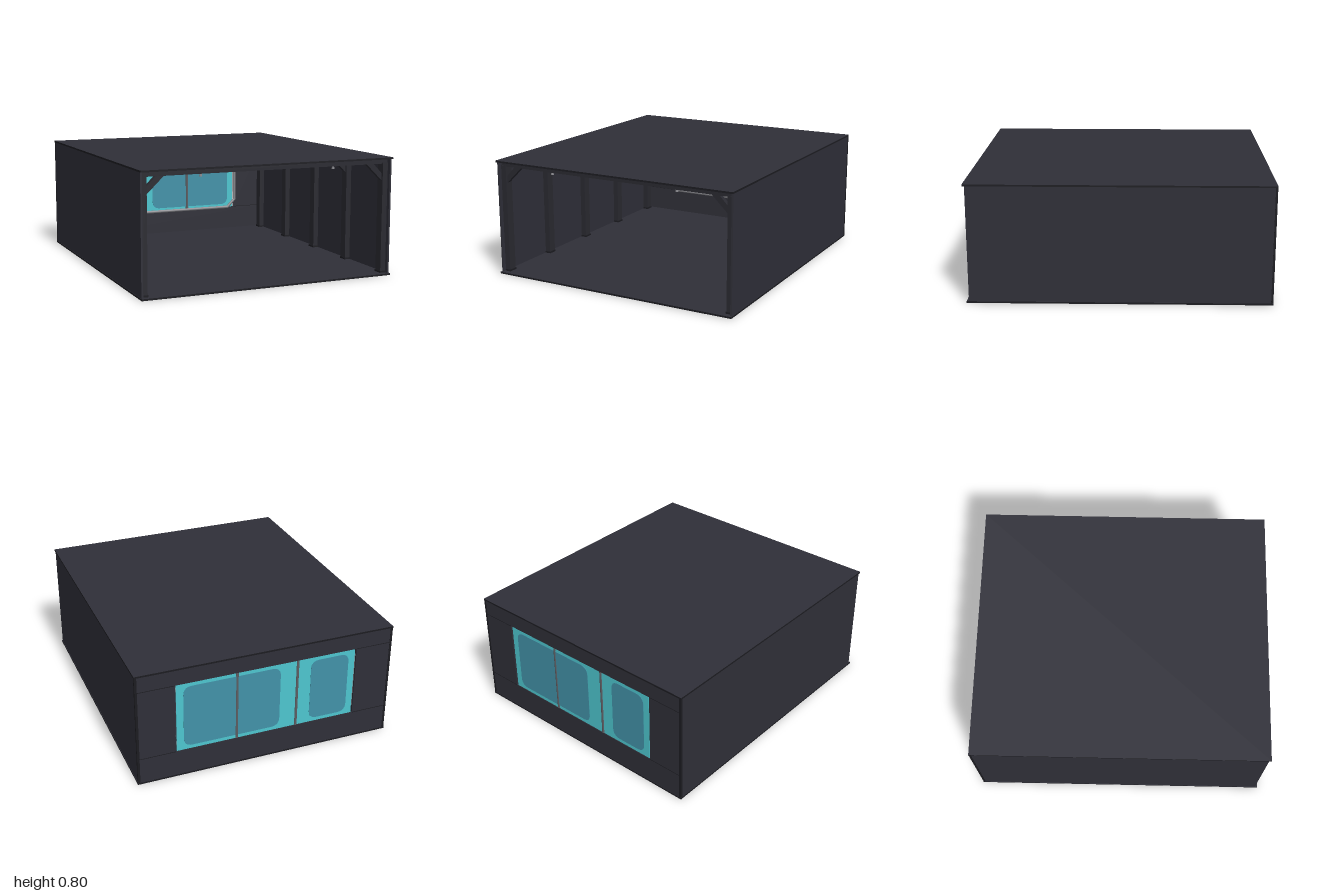
import * as THREE from 'three';

const mat = (name, color) => {
  const m = new THREE.MeshStandardMaterial({ color });
  m.name = name;
  return m;
};

export function createModel() {
  const hull = mat('hull panel', 0x2f2f38);
  const beam = mat('dark beam', 0x292930);
  const trim = mat('trim', 0x1c1c21);
  const steel = mat('steel', 0x85858a);
  const glass = mat('glass', 0x4dc6cf);
  const tint = mat('tinted glass', 0x4292a8);
  const root = new THREE.Group();
  root.name = 'hangar';

  const add = (name, geo, material, x = 0, y = 0, z = 0) => {
    const m = new THREE.Mesh(geo, material);
    m.name = name;
    m.position.set(x, y, z);
    root.add(m);
    return m;
  };
  // box given by its two opposite corners
  const box = (name, material, x0, x1, y0, y1, z0, z1) =>
    add(name, new THREE.BoxGeometry(x1 - x0, y1 - y0, z1 - z0), material,
      (x0 + x1) / 2, (y0 + y1) / 2, (z0 + z1) / 2);

  // floor and roof slabs, with dark edges on the sides and front
  const slabMats = [trim, trim, hull, hull, trim, trim];
  box('floor', slabMats, -0.888, 0.888, 0, 0.012, -1, 1);
  box('roof', slabMats, -0.888, 0.888, 0.788, 0.8, -1, 1);

  // side walls
  for (const s of [-1, 1]) {
    add(s > 0 ? 'leftWall' : 'rightWall', new THREE.BoxGeometry(0.012, 0.776, 1.97), hull, s * 0.879, 0.4, 0);
    add('backCornerPost', new THREE.BoxGeometry(0.016, 0.776, 0.014), trim, s * 0.879, 0.4, -0.992);
  }

  // back wall in panels around the window opening
  const bz = [-0.998, -0.984];
  box('backLowerPanel', hull, -0.871, 0.871, 0.012, 0.19, ...bz);
  box('backUpperPanel', hull, -0.871, 0.871, 0.682, 0.788, ...bz);
  box('backRightPanel', hull, -0.871, -0.628, 0.19, 0.682, ...bz);
  box('backLeftPanel', hull, 0.628, 0.871, 0.19, 0.682, ...bz);
  // panel seams on both faces
  for (const z of [-0.9985, -0.9835])
    for (const y of [0.19, 0.682])
      for (const s of [-1, 1]) add('panelSeam', new THREE.BoxGeometry(0.24, 0.004, 0.002), trim, s * 0.75, y, z);

  // portal ribs: columns, cross beam, corner braces and lamps
  const braceShape = new THREE.Shape([
    [0.835, 0.642], [0.835, 0.69], [0.77, 0.757], [0.715, 0.757],
  ].map(([x, y]) => new THREE.Vector2(x, y)));
  for (const z of [0.93, 0.465, 0, -0.465, -0.93]) {
    box('crossBeam', beam, -0.872, 0.872, 0.755, 0.79, z - 0.025, z + 0.025);
    for (const s of [-1, 1]) {
      add('column', new THREE.BoxGeometry(0.038, 0.75, 0.06), beam, s * 0.854, 0.387, z);
      add('columnFoot', new THREE.BoxGeometry(0.042, 0.012, 0.066), trim, s * 0.852, 0.018, z);
      const brace = add('cornerBrace',
        new THREE.ExtrudeGeometry(braceShape, { depth: 0.03, bevelEnabled: false }), beam, 0, 0, z - s * 0.015);
      if (s < 0) brace.rotation.y = Math.PI;
      add('ceilingLamp', new THREE.CylinderGeometry(0.007, 0.01, 0.02, 8), steel, s * 0.47, 0.745, z);
    }
  }

  // window glass with rounded tinted areas showing on both faces
  box('windowGlass', glass, -0.62, 0.62, 0.19, 0.682, -0.993, -0.988);
  const tintArea = (x0, x1, y0, y1, r) => {
    const s = new THREE.Shape();
    s.moveTo(x0 + r, y0);
    s.lineTo(x1 - r, y0);
    s.quadraticCurveTo(x1, y0, x1, y0 + r);
    s.lineTo(x1, y1 - r);
    s.quadraticCurveTo(x1, y1, x1 - r, y1);
    s.lineTo(x0 + r, y1);
    s.quadraticCurveTo(x0, y1, x0, y1 - r);
    s.lineTo(x0, y0 + r);
    s.quadraticCurveTo(x0, y0, x0 + r, y0);
    add('tintedArea', new THREE.ExtrudeGeometry(s, { depth: 0.009, bevelEnabled: false }), tint, 0, 0, -0.995);
  };
  tintArea(-0.575, -0.305, 0.215, 0.655, 0.06);
  tintArea(-0.09, 0.572, 0.215, 0.655, 0.06);

  // octagonal tube frame on the inside of the window
  const pts = [[0.57, 0.19], [0.632, 0.252], [0.632, 0.622], [0.57, 0.684],
    [-0.57, 0.684], [-0.632, 0.622], [-0.632, 0.252], [-0.57, 0.19]].map(([x, y]) => new THREE.Vector3(x, y, -0.976));
  pts.forEach((a, i) => {
    const b = pts[(i + 1) % pts.length];
    const bar = add('windowFrameBar', new THREE.CylinderGeometry(0.011, 0.011, a.distanceTo(b), 10), steel);
    bar.position.copy(a).add(b).multiplyScalar(0.5);
    bar.quaternion.setFromUnitVectors(new THREE.Vector3(0, 1, 0), b.clone().sub(a).normalize());
    add('windowFrameJoint', new THREE.SphereGeometry(0.011, 10, 8), steel, a.x, a.y, a.z);
  });
  // mullions run through the glass
  const mullion = mat('mullion', 0x5e5e63);
  for (const x of [-0.21, 0.21])
    add('mullion', new THREE.CylinderGeometry(0.011, 0.011, 0.492, 10), mullion, x, 0.436, -0.988);

  return root;
}
